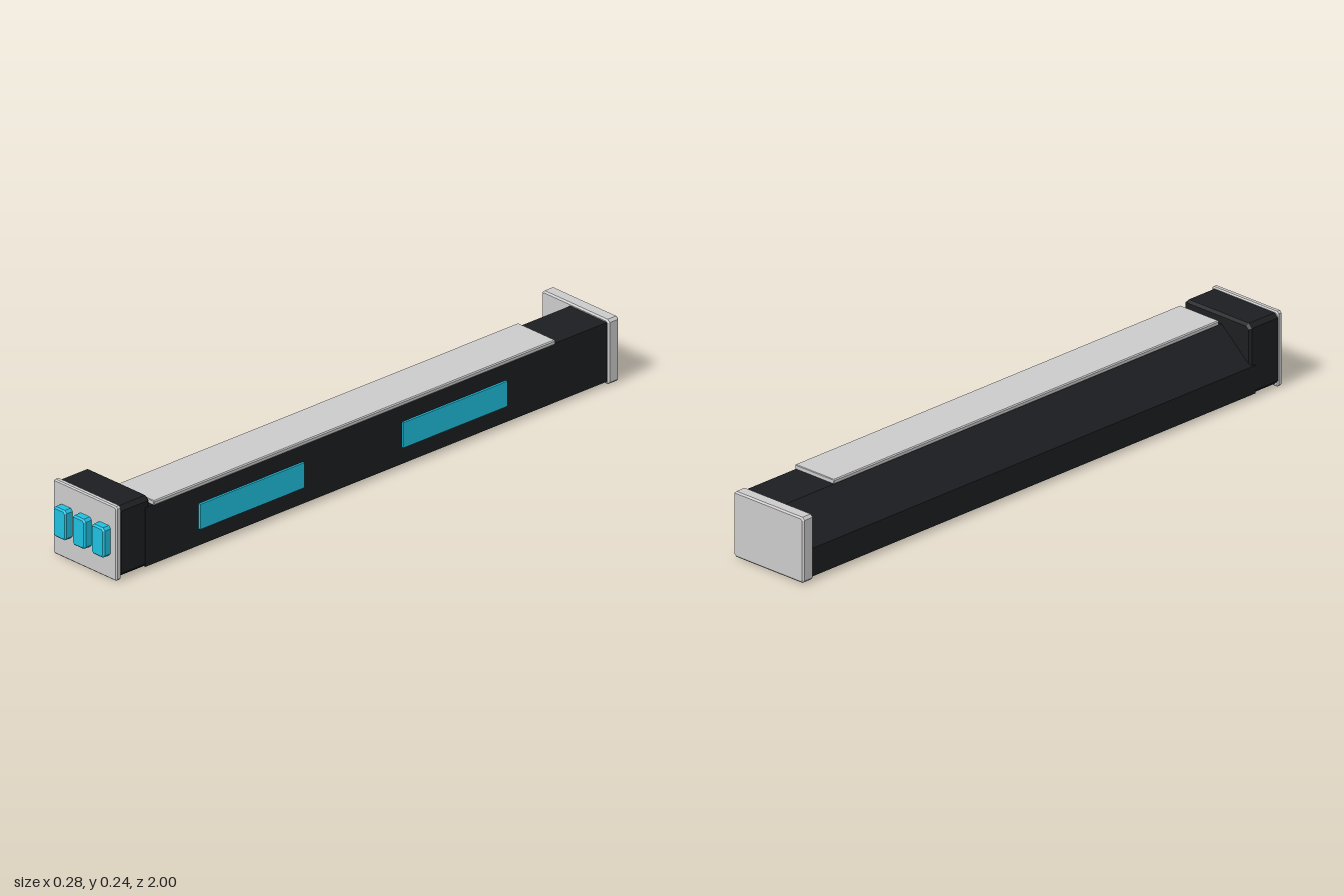
import * as THREE from 'three';

const grey = new THREE.MeshStandardMaterial({ color: 0xcccccc });
const dark = new THREE.MeshStandardMaterial({ color: 0x1c1e21 });
const cyan = new THREE.MeshStandardMaterial({ color: 0x1fc0e0 });

// Box given by its limits, with a single-step chamfer c on every edge
function chamferBox([x0, x1], [y0, y1], [z0, z1], c) {
  const shape = new THREE.Shape([
    [x0 + 2 * c, y0 + c], [x1 - 2 * c, y0 + c], [x1 - c, y0 + 2 * c], [x1 - c, y1 - 2 * c],
    [x1 - 2 * c, y1 - c], [x0 + 2 * c, y1 - c], [x0 + c, y1 - 2 * c], [x0 + c, y0 + 2 * c],
  ].map(([x, y]) => new THREE.Vector2(x, y)));
  const geo = new THREE.ExtrudeGeometry(shape, {
    depth: z1 - z0 - 2 * c, bevelEnabled: true, bevelSegments: 1, bevelSize: c, bevelThickness: c,
  });
  return geo.translate(0, 0, z0 + c);
}

export function createModel() {
  const model = new THREE.Group();
  const add = (name, geometry, material) => {
    const mesh = new THREE.Mesh(geometry, material);
    mesh.name = name;
    model.add(mesh);
  };

  // Long body with one sloping upper side
  const section = new THREE.Shape([
    [-0.137, 0.012], [0.133, 0.012], [0.133, 0.2], [-0.02, 0.2], [-0.137, 0.1],
  ].map(([x, y]) => new THREE.Vector2(x, y)));
  const body = new THREE.ExtrudeGeometry(section, { depth: 1.83, bevelEnabled: false });
  add('body', body.translate(0, 0, -0.97), dark);

  // Flat panel on top
  add('topPanel', chamferBox([-0.02, 0.138], [0.198, 0.213], [-0.75, 0.83], 0.002), grey);

  // Plate closing the back end
  add('backCap', chamferBox([-0.141, 0.14], [0.002, 0.208], [-1, -0.957], 0.005), grey);

  // Wider block and plate at the front
  add('frontBlock', chamferBox([-0.135, 0.132], [0.008, 0.231], [0.84, 0.962], 0.008), dark);
  add('frontPlate', chamferBox([-0.135, 0.132], [0, 0.236], [0.953, 0.972], 0.004), grey);

  // Row of three front lights
  for (const x of [-0.08, 0, 0.08]) {
    add('frontLight', chamferBox([x - 0.027, x + 0.027], [0.073, 0.168], [0.96, 1], 0.005), cyan);
  }

  // Two light strips along the straight side
  for (const z of [0.445, -0.355]) {
    const strip = new THREE.BoxGeometry(0.014, 0.08, 0.41);
    add('sideStrip', strip.translate(0.133, 0.105, z), cyan);
  }

  return model;
}
